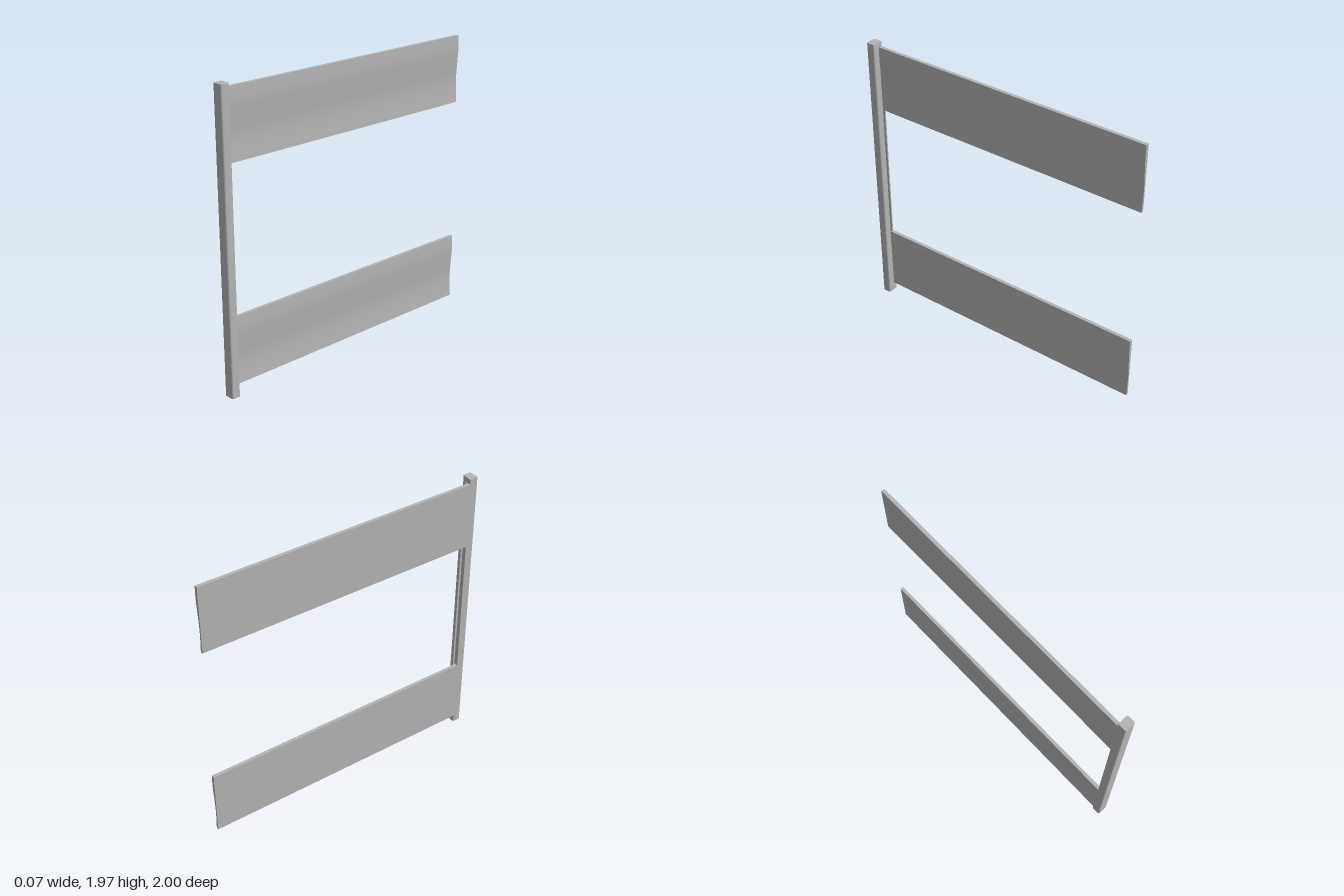
import * as THREE from 'three';

const W = 0.037;          // half width of the post
const FRONT = 1, BACK = 0.94;

// Rounded plan outline; shape y is -z. An optional channel runs down the back face.
function planShape(grooved) {
  const r = 0.012, f = -FRONT, b = -BACK;
  const s = new THREE.Shape();
  s.moveTo(-W + r, f);
  s.lineTo(W - r, f);
  s.quadraticCurveTo(W, f, W, f + r);
  s.lineTo(W, b - r);
  s.quadraticCurveTo(W, b, W - r, b);
  if (grooved) {
    s.lineTo(0.008, b);
    s.lineTo(0.008, b - 0.015);
    s.lineTo(-0.026, b - 0.015);
    s.lineTo(-0.026, b);
  }
  s.lineTo(-W + 0.004, b);
  s.quadraticCurveTo(-W, b, -W, b - 0.004);
  s.lineTo(-W, f + r);
  s.quadraticCurveTo(-W, f, -W + r, f);
  return s;
}

// Upright prism between two heights
function upright(name, shape, y0, y1, material) {
  const geo = new THREE.ExtrudeGeometry(shape, { depth: y1 - y0, bevelEnabled: false, curveSegments: 4 });
  geo.rotateX(-Math.PI / 2);
  geo.translate(0, y0, 0);
  const mesh = new THREE.Mesh(geo, material);
  mesh.name = name;
  return mesh;
}

// Board section: flat outer face, gently S-curved inner face
function boardShape(h) {
  const s = new THREE.Shape();
  s.moveTo(-W, 0);
  s.lineTo(-0.018, 0);
  s.splineThru([
    new THREE.Vector2(-0.024, 0.2 * h),
    new THREE.Vector2(-0.025, 0.38 * h),
    new THREE.Vector2(-0.018, 0.6 * h),
    new THREE.Vector2(-0.012, 0.8 * h),
    new THREE.Vector2(-0.014, h),
  ]);
  s.lineTo(-W, h);
  s.closePath();
  return s;
}

export function createModel() {
  const group = new THREE.Group();
  group.name = 'postWithBoards';
  const grey = new THREE.MeshStandardMaterial({ color: 0xb4b4b4 });
  grey.name = 'plainGrey';

  // Post and its end caps
  group.add(upright('post', planShape(true), 0.04, 1.93, grey));
  group.add(upright('bottomCap', planShape(false), 0, 0.04, grey));
  group.add(upright('topCap', planShape(false), 1.93, 1.965, grey));

  // Two long boards reaching back from the post
  const boardHeight = 0.455;
  const boardGeo = new THREE.ExtrudeGeometry(boardShape(boardHeight), {
    depth: 1 + BACK + 0.005, bevelEnabled: false, curveSegments: 4,
  });
  for (const [name, y] of [['lowerBoard', 0.052], ['upperBoard', 1.475]]) {
    const board = new THREE.Mesh(boardGeo, grey);
    board.name = name;
    board.position.set(0, y, -1);
    group.add(board);
  }
  return group;
}
